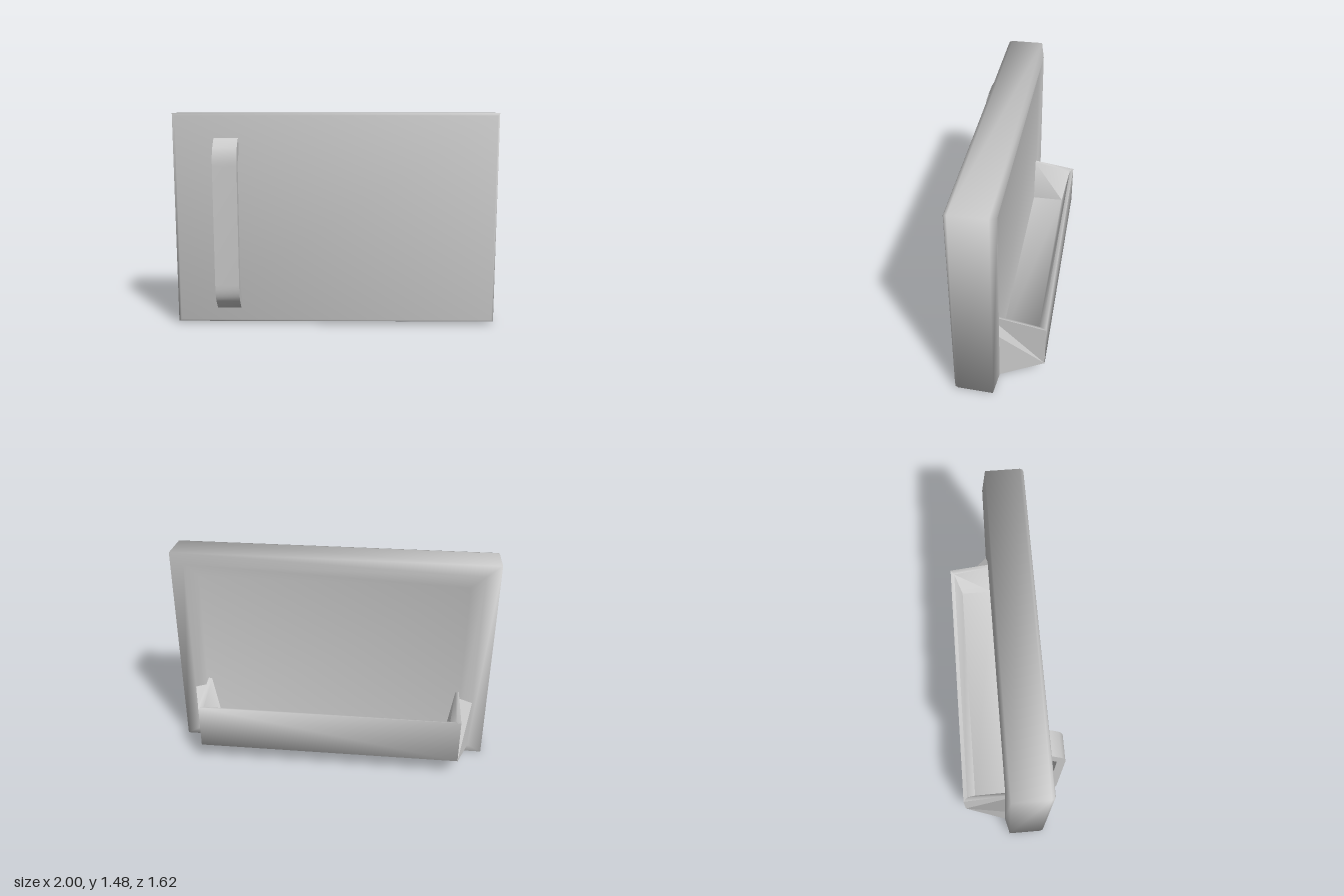
import * as THREE from 'three';
import { toCreasedNormals } from 'three/addons/utils/BufferGeometryUtils.js';

const grey = new THREE.MeshStandardMaterial({ color: 0xcccccc });
const greyDouble = new THREE.MeshStandardMaterial({ color: 0xcccccc, side: THREE.DoubleSide });

// Builds a mesh from three- or four-cornered faces, keeping folds sharper than the crease angle
function faceMesh(name, faces, material, crease) {
  const positions = [];
  for (const [a, b, c, d] of faces) {
    positions.push(...a, ...b, ...c);
    if (d) positions.push(...a, ...c, ...d);
  }
  const geometry = new THREE.BufferGeometry();
  geometry.setAttribute('position', new THREE.Float32BufferAttribute(positions, 3));
  const mesh = new THREE.Mesh(toCreasedNormals(geometry, crease), material);
  mesh.name = name;
  return mesh;
}

// Door slab: rectangles stacked from the rounded front to the shallow recess in the back
function makeDoor() {
  // [z, left, right, bottom, top]
  const sections = [
    [0.2, -1.123, 1.07, 0.035, 1.465],
    [0.193, -1.138, 1.083, 0.022, 1.479],
    [0.175, -1.146, 1.088, 0.016, 1.483],
    [-0.06, -1.146, 1.087, 0.003, 1.483],
    [-0.088, -1.043, 0.983, 0.075, 1.413],
    [-0.06, -0.955, 0.895, 0.16, 1.32],
  ];
  const rings = sections.map(([z, x0, x1, y0, y1]) => [[x0, y0, z], [x1, y0, z], [x1, y1, z], [x0, y1, z]]);
  const faces = [rings[0], [...rings[rings.length - 1]].reverse()];
  for (let i = 0; i < rings.length - 1; i++) {
    for (let k = 0; k < 4; k++) {
      const n = (k + 1) % 4;
      faces.push([rings[i][k], rings[i + 1][k], rings[i + 1][n], rings[i][n]]);
    }
  }
  return faceMesh('door', faces, grey, 1.65);
}

// Open-topped bin on the back: a wall profile carried around left end, outer face and right end
function makeBin() {
  // Profile order: outer bottom, outer top, inner top, floor edge
  const stations = [
    [[-0.945, 0.076, -0.06], [-0.945, 0.51, -0.06], [-0.92, 0.505, -0.06], [-0.87, 0.18, -0.06]],
    [[-0.953, 0.135, -0.377], [-0.953, 0.455, -0.377], [-0.922, 0.445, -0.35], [-0.87, 0.18, -0.3]],
    [[0.887, 0.13, -0.377], [0.887, 0.45, -0.377], [0.856, 0.44, -0.35], [0.805, 0.18, -0.3]],
    [[0.887, 0.076, -0.06], [0.887, 0.51, -0.06], [0.862, 0.505, -0.06], [0.805, 0.18, -0.06]],
  ];
  const faces = [];
  for (let i = 0; i < 3; i++) {
    for (let j = 0; j < 3; j++) {
      faces.push([stations[i][j], stations[i][j + 1], stations[i + 1][j + 1], stations[i + 1][j]]);
    }
  }
  faces.push(stations.map((s) => s[0])); // underside
  faces.push(stations.map((s) => s[3]).reverse()); // inner floor
  return faceMesh('storageBin', faces, greyDouble, 1.4);
}

// Wedge bracing one end of the bin, rising from its lower outer corner to the door
function makeGusset(name, inner, outer) {
  const tip = [inner, 0.132, -0.377];
  const low = [outer, 0.076, -0.086];
  const high = [outer, 0.443, -0.086];
  const innerLow = [inner, 0.076, -0.06];
  const innerHigh = [inner, 0.455, -0.06];
  const faces = [[tip, high, low], [tip, innerHigh, high], [tip, low, innerLow]];
  return faceMesh(name, faces, greyDouble, 0.5);
}

// Pull handle: a bowed bar seen from the side, extruded across its width
function makeHandle() {
  const shape = new THREE.Shape();
  shape.moveTo(0.19, 0.12);
  shape.lineTo(0.225, 0.13);
  shape.lineTo(0.276, 0.19);
  shape.quadraticCurveTo(0.308, 0.23, 0.308, 0.31);
  shape.lineTo(0.308, 1.13);
  shape.quadraticCurveTo(0.308, 1.21, 0.276, 1.255);
  shape.lineTo(0.225, 1.31);
  shape.lineTo(0.19, 1.32);
  shape.lineTo(0.19, 1.225);
  shape.lineTo(0.253, 1.15);
  shape.lineTo(0.253, 0.29);
  shape.lineTo(0.19, 0.215);
  shape.closePath();
  const geometry = new THREE.ExtrudeGeometry(shape, { depth: 0.165, bevelEnabled: false, curveSegments: 5 });
  geometry.rotateY(-Math.PI / 2);
  geometry.translate(-0.693, 0, 0);
  const mesh = new THREE.Mesh(toCreasedNormals(geometry, 0.9), grey);
  mesh.name = 'handle';
  return mesh;
}

export function createModel() {
  const model = new THREE.Group();
  model.name = 'openApplianceDoor';
  // The door stands swung open about the vertical
  const swing = new THREE.Group();
  swing.name = 'swungDoor';
  swing.add(makeDoor(), makeBin(), makeHandle());
  swing.add(makeGusset('leftGusset', 0.887, 0.983), makeGusset('rightGusset', -0.953, -1.043));
  swing.rotation.y = 0.604;
  model.add(swing);
  return model;
}
